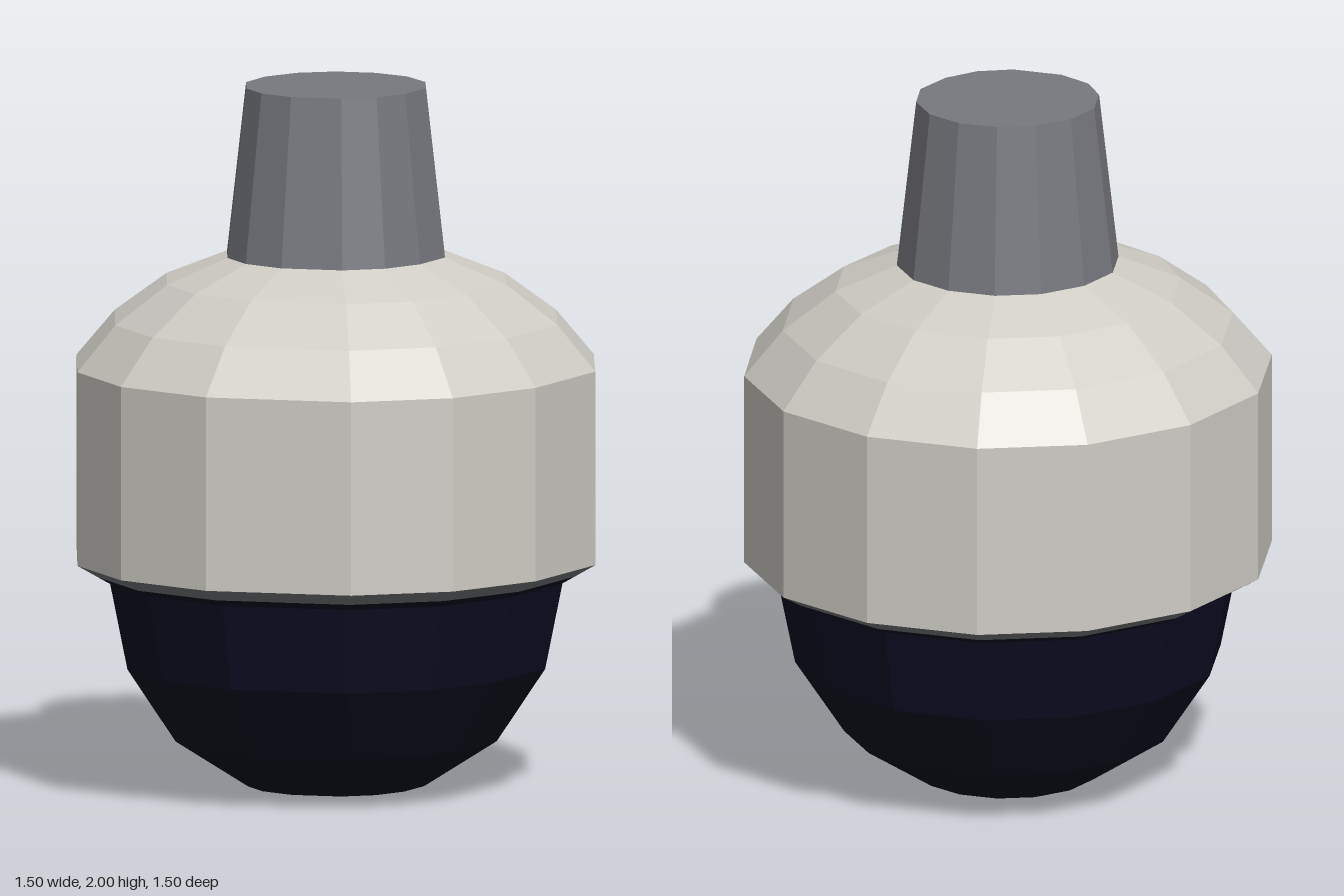
import * as THREE from 'three';

// Slightly uneven 14-sided outline [x, z] at full body radius, running from front to left
const OUTLINE = [
  [0.22, 0.745], [0.48, 0.6], [0.66, 0.35], [0.75, 0], [0.665, -0.34], [0.45, -0.61], [0.15, -0.75],
  [-0.18, -0.75], [-0.46, -0.61], [-0.67, -0.34], [-0.75, 0], [-0.665, 0.35], [-0.48, 0.6], [-0.2, 0.745],
];

// Skins rings of [radius, y], listed bottom to top; a radius of 0 closes to a point
function loft(rings) {
  const positions = [];
  const n = OUTLINE.length;
  const point = ([r, y], i) => {
    const [x, z] = OUTLINE[i % n];
    return [x * r / 0.75, y, z * r / 0.75];
  };
  for (let k = 0; k < rings.length - 1; k++) {
    const low = rings[k], high = rings[k + 1];
    for (let i = 0; i < n; i++) {
      const a = point(low, i), b = point(low, i + 1);
      const c = point(high, i + 1), d = point(high, i);
      if (low[0] > 0) positions.push(...a, ...b, ...c);
      if (high[0] > 0) positions.push(...a, ...c, ...d);
    }
  }
  const geometry = new THREE.BufferGeometry();
  geometry.setAttribute('position', new THREE.Float32BufferAttribute(positions, 3));
  geometry.computeVertexNormals();
  return geometry;
}

function material(name, color) {
  const m = new THREE.MeshStandardMaterial({ color, flatShading: true });
  m.name = name;
  return m;
}

export function createModel() {
  const model = new THREE.Group();
  model.name = 'domeCamera';
  const shellPaint = material('warm light grey', 0xd0cdc6);
  const mountPaint = material('slate grey', 0x78797f);
  const domePaint = material('dark navy', 0x0c0c20);

  const add = (name, mat, rings) => {
    const mesh = new THREE.Mesh(loft(rings), mat);
    mesh.name = name;
    model.add(mesh);
  };

  // Tinted dome with a small lip under the rim
  add('dome', domePaint, [[0, 0], [0.255, 0.015], [0.465, 0.15], [0.605, 0.36], [0.655, 0.605], [0.69, 0.625]]);
  // Sloping underside of the housing
  add('rim', mountPaint, [[0.69, 0.625], [0.75, 0.66]]);
  // Straight housing wall and rounded shoulder
  add('housing', shellPaint, [[0.75, 0.66], [0.75, 1.21], [0.64, 1.34], [0.49, 1.45], [0.315, 1.52]]);
  // Tapered mounting neck with a flat top
  add('neck', mountPaint, [[0.315, 1.52], [0.26, 2], [0, 2]]);

  return model;
}
